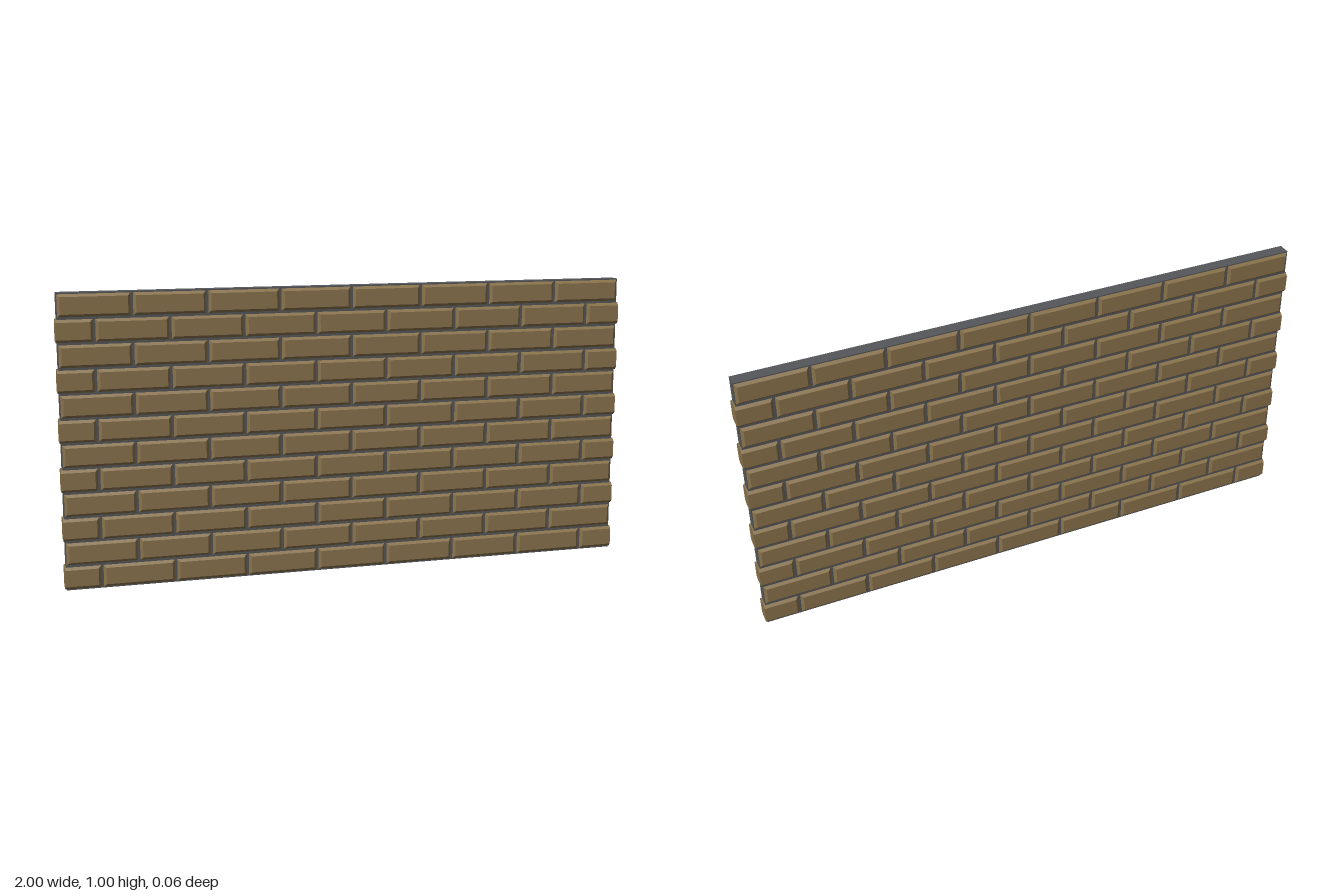
import * as THREE from 'three';

const ROWS = 12, ROW_H = 1 / ROWS, PITCH = 0.25;
const CORE_Z = 0.021, FACE_Z = 0.0295, BEVEL = 0.01, GAP = 0.003;

// Through-brick with chamfered faces front and back; either end can be cut square
function brickGeometry(x0, x1, bevelLeft, bevelRight) {
  const w = x1 - x0, h = ROW_H - 2 * GAP;
  const geo = new THREE.BoxGeometry(w, h, 1, 1, 1, 3);
  const p = geo.attributes.position;
  for (let i = 0; i < p.count; i++) {
    const x = p.getX(i), y = p.getY(i), z = p.getZ(i);
    const outer = Math.abs(z) > 0.4;
    p.setZ(i, Math.sign(z) * (outer ? FACE_Z : CORE_Z - 0.001));
    if (!outer) continue;
    p.setY(i, y - Math.sign(y) * BEVEL);
    if (x < 0 && bevelLeft) p.setX(i, x + BEVEL);
    if (x > 0 && bevelRight) p.setX(i, x - BEVEL);
  }
  const flat = geo.toNonIndexed();
  flat.computeVertexNormals();
  return flat.translate((x0 + x1) / 2, 0, 0);
}

export function createModel() {
  const wall = new THREE.Group();
  wall.name = 'brickWall';
  const brickMat = new THREE.MeshStandardMaterial({ color: 0x8a734c });
  const mortarMat = new THREE.MeshStandardMaterial({ color: 0x55575a });

  // Mortar slab showing in the joints, ends and top
  const mortar = new THREE.Mesh(new THREE.BoxGeometry(1.99, 1, 2 * CORE_Z), mortarMat);
  mortar.name = 'mortar';
  mortar.position.y = 0.5;
  wall.add(mortar);

  // Running bond: even courses start and end with a half brick that wraps the wall end
  for (let r = 0; r < ROWS; r++) {
    const course = new THREE.Group();
    course.name = 'course' + (r + 1);
    course.position.y = (r + 0.5) * ROW_H;
    const half = r % 2 === 0;
    const start = half ? -1 - PITCH / 2 : -1;
    for (let i = 0; i < (half ? 9 : 8); i++) {
      const a = start + i * PITCH, b = a + PITCH;
      const cutLeft = a < -1.01, cutRight = b > 1.01;
      const x0 = cutLeft ? -1 : Math.max(a + GAP, -0.994);
      const x1 = cutRight ? 1 : Math.min(b - GAP, 0.994);
      const brick = new THREE.Mesh(brickGeometry(x0, x1, !cutLeft, !cutRight), brickMat);
      brick.name = cutLeft || cutRight ? 'halfBrick' : 'brick';
      course.add(brick);
    }
    wall.add(course);
  }
  return wall;
}
